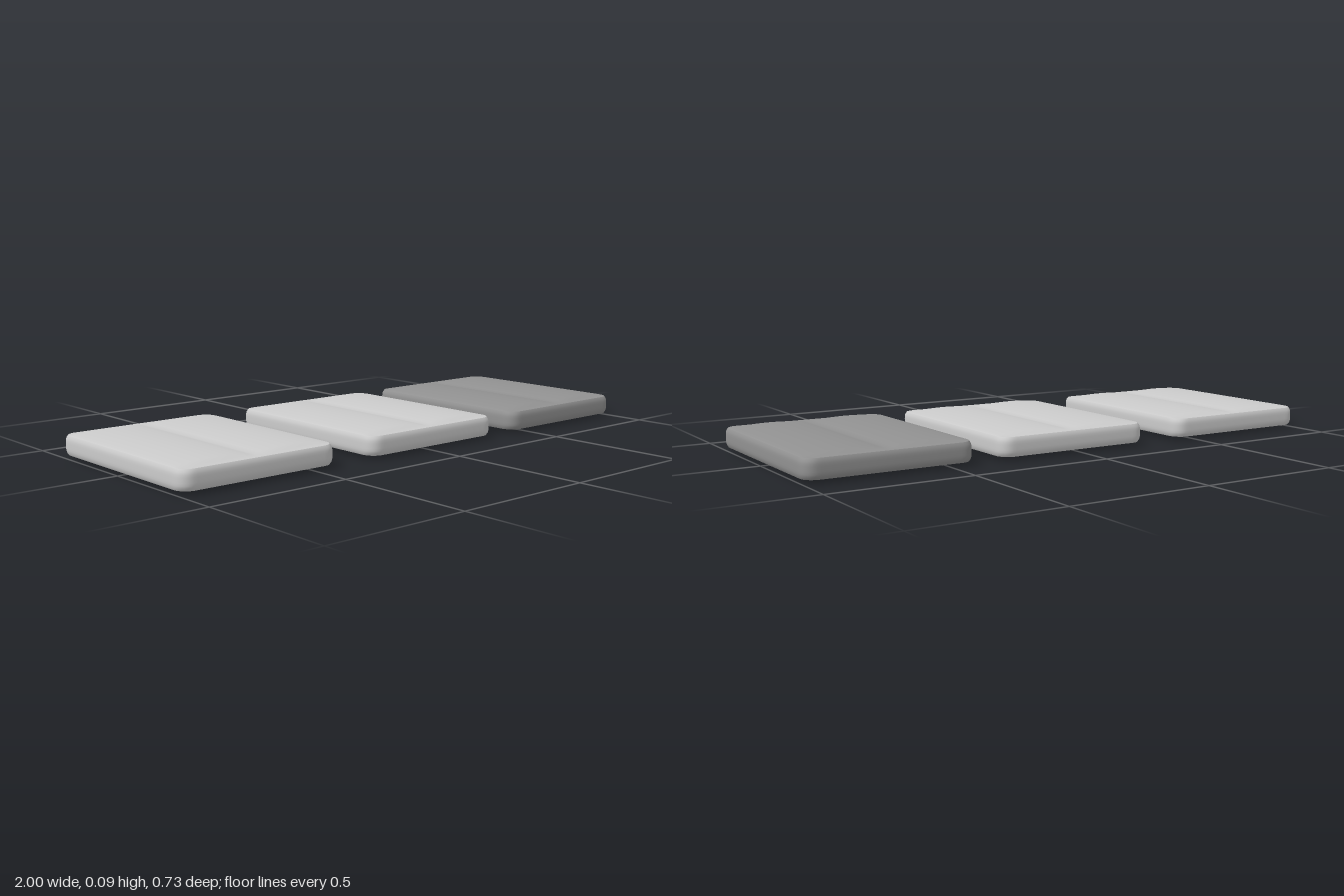
import * as THREE from 'three';
import { mergeVertices } from 'three/addons/utils/BufferGeometryUtils.js';

const HALF_W = 0.293, HALF_D = 0.363, CORNER = 0.045;
const MID_Y = 0.046, HALF_H = 0.033, PUFF = 0.012;

// Rounded slab whose two broad faces swell into a pair of shallow cushions
function slabGeometry() {
  const geometry = new THREE.BoxGeometry(2, 2, 2, 40, 8, 40);
  geometry.deleteAttribute('normal');
  geometry.deleteAttribute('uv');
  const pos = geometry.attributes.position;
  const crowd = (t) => Math.sin(t * Math.PI / 2); // denser rows near the edges

  for (let i = 0; i < pos.count; i++) {
    const v = pos.getY(i);
    const a = crowd(pos.getX(i)), b = crowd(pos.getZ(i));
    const inset = 0.006 * v ** 4; // softly bulging wall
    let x = a * (HALF_W - inset), z = b * (HALF_D - inset);

    // Bend the square corners into quarter circles
    const cx = HALF_W - inset - CORNER, cz = HALF_D - inset - CORNER;
    const dx = Math.abs(x) - cx, dz = Math.abs(z) - cz;
    if (dx > 0 && dz > 0) {
      const k = Math.max(dx, dz) / Math.hypot(dx, dz);
      x = Math.sign(x) * (cx + dx * k);
      z = Math.sign(z) * (cz + dz * k);
    }

    // Two swellings side by side with a groove between them
    let y = MID_Y + v * HALF_H;
    if (Math.abs(v) > 0.999) {
      const across = Math.abs(Math.sin(Math.PI * a)) ** 0.7;
      const along = THREE.MathUtils.smoothstep(HALF_D - Math.abs(z), 0.015, 0.06);
      y += Math.sign(v) * PUFF * across * along * (0.85 + 0.15 * Math.cos(b * Math.PI / 2));
    }
    pos.setXYZ(i, x, y, z);
  }
  const smooth = mergeVertices(geometry, 1e-5);
  smooth.computeVertexNormals();
  return smooth;
}

export function createModel() {
  const group = new THREE.Group();
  const geometry = slabGeometry();
  const slabs = [
    ['rightSlab', -0.707, 0xcccccc],
    ['middleSlab', 0.024, 0xcccccc],
    ['leftSlab', 0.707, 0x929292],
  ];
  for (const [name, x, color] of slabs) {
    const slab = new THREE.Mesh(geometry, new THREE.MeshStandardMaterial({ color }));
    slab.name = name;
    slab.position.x = x;
    group.add(slab);
  }
  return group;
}
